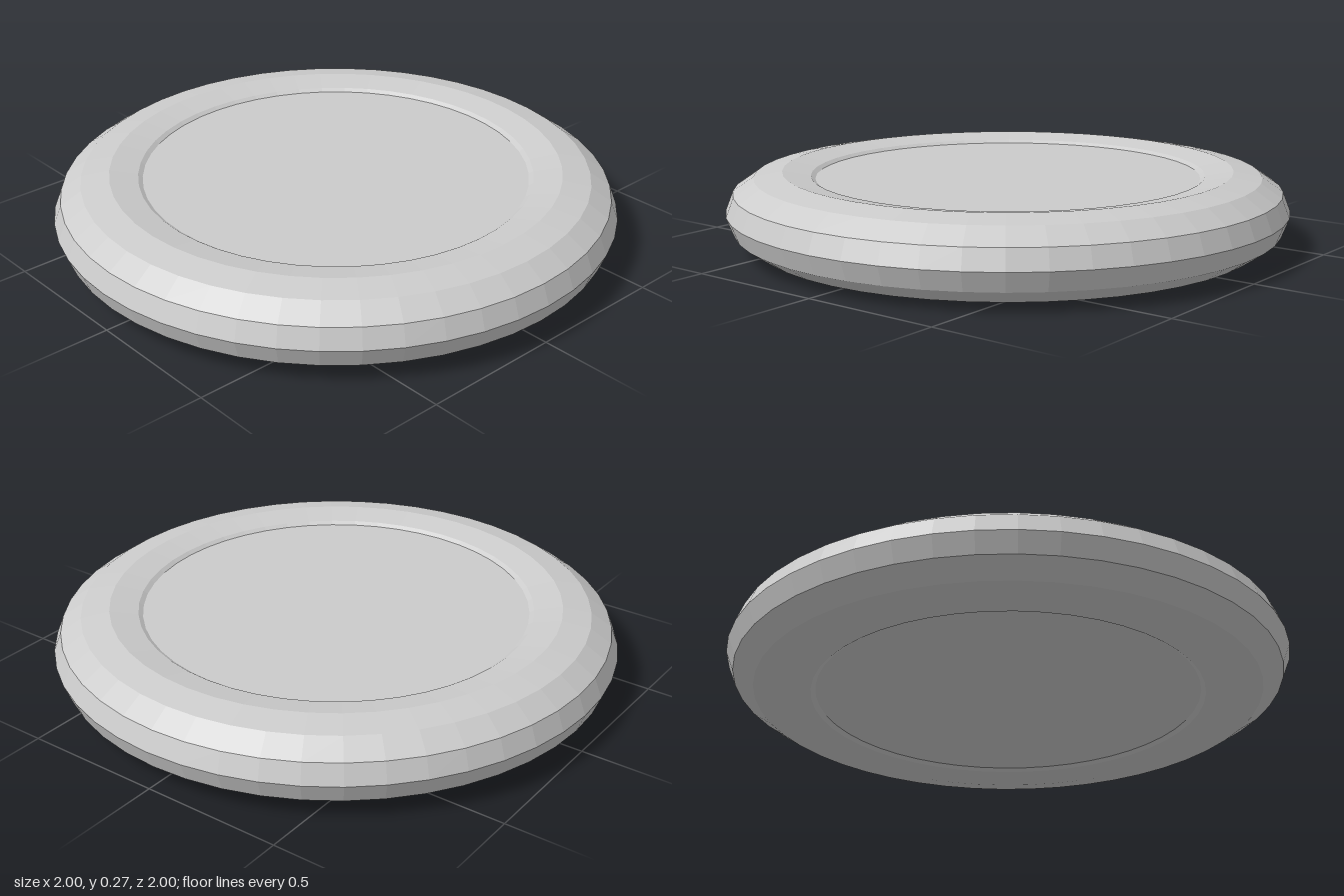
import * as THREE from 'three';

export function createModel() {
  const group = new THREE.Group();
  const material = new THREE.MeshStandardMaterial({ color: 0xcccccc, flatShading: true });
  const sides = 48, halfHeight = 0.137;

  // Faceted outer rim: a torus flattened to an oval section
  const rimGeometry = new THREE.TorusGeometry(0.8, 0.2, 12, sides);
  rimGeometry.rotateX(-Math.PI / 2);
  rimGeometry.scale(1, halfHeight / 0.2, 1);
  const rim = new THREE.Mesh(rimGeometry, material);
  rim.name = 'rim';
  rim.position.y = halfHeight;
  group.add(rim);

  // Flat centre disc, slightly recessed on both faces
  const disc = new THREE.Mesh(new THREE.CylinderGeometry(0.69, 0.69, 0.216, sides), material);
  disc.name = 'centreDisc';
  disc.position.y = halfHeight;
  group.add(disc);

  return group;
}
